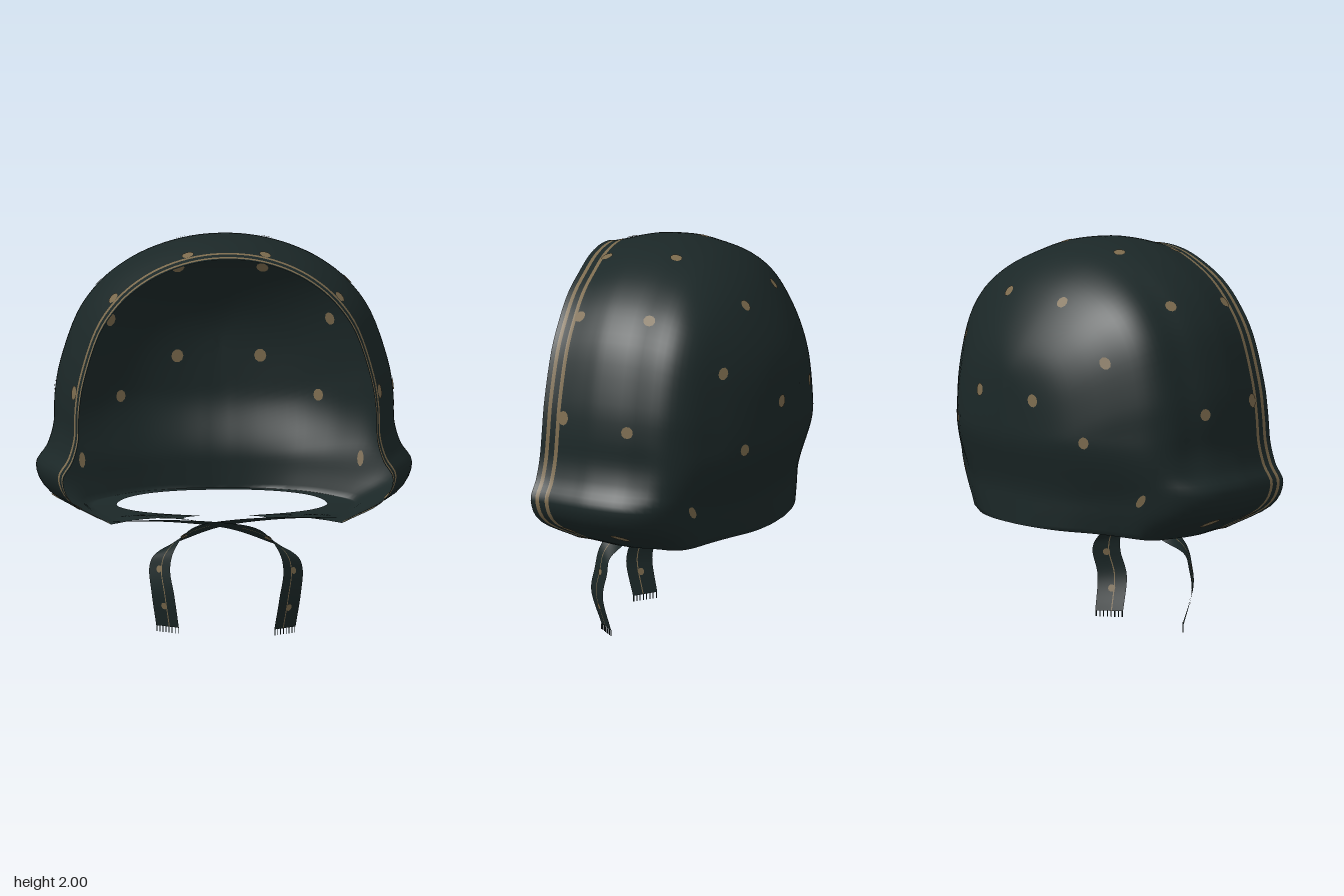
import * as THREE from 'three';
import { mergeVertices } from 'three/addons/utils/BufferGeometryUtils.js';

const { smoothstep, lerp } = THREE.MathUtils;
const V = (x, y, z) => new THREE.Vector3(x, y, z);
const spline = (rows) => new THREE.CatmullRomCurve3(rows.map((r) => V(...r)), false, 'catmullrom');

// depth z, half width and crown height of each hood section, rim to back
const SECTIONS = [
  [0.5, 0.83, 1.93], [0.475, 0.833, 1.933], [0.455, 0.837, 1.937], [0.425, 0.845, 1.945],
  [0.405, 0.852, 1.95], [0.3, 0.895, 1.98], [0.2, 0.93, 1.995], [0.05, 0.945, 1.995],
  [-0.1, 0.9, 1.96], [-0.22, 0.8, 1.9], [-0.33, 0.67, 1.81], [-0.43, 0.54, 1.685],
  [-0.51, 0.39, 1.55], [-0.555, 0.2, 1.43], [-0.57, 0, 1.31],
];
// arch from hem to just past the crown: width fraction, height fraction, forward bend at the rim
const FRONT = [
  [0.7, 0, -0.1], [0.93, 0.09, 0.035], [1, 0.18, 0.07], [0.94, 0.25, 0.06], [0.905, 0.33, 0.05],
  [0.9, 0.43, 0.04], [0.87, 0.55, 0.035], [0.78, 0.72, 0.025], [0.66, 0.83, 0.015],
  [0.52, 0.905, 0.01], [0.36, 0.957, 0], [0.18, 0.99, 0], [0, 1, 0], [-0.18, 0.99, 0],
];
const BACK_WIDTH = [0.86, 0.92, 0.96, 0.99, 1, 0.99, 0.97, 0.89, 0.78, 0.63, 0.44, 0.22, 0, -0.22];
const CROWN = (FRONT.length - 2) / (FRONT.length - 1);
const SUB = 4, FLOOR = 6, ARCH = 48;

const sectionCurve = spline(SECTIONS);
const frontArch = spline(FRONT);
const backArch = spline(FRONT.map((r, i) => [BACK_WIDTH[i], r[1], 0]));

// half-width of the neck opening in the underside, pinched between two pointed flaps
function openingWidth(z, hem) {
  if (z < -0.15) return Math.min(hem, 0.53 * Math.sqrt(Math.max(0, 1 - ((z + 0.15) / 0.36) ** 2)));
  if (z < 0.2) return 0.12 + 0.41 * (1 - ((z + 0.15) / 0.35) ** 1.5);
  return 0.12 + 0.09 * Math.sin(((z - 0.2) / 0.3) * Math.PI);
}

// one half section: chin flap from the opening to the hem, then up to the crown
function halfSection(t) {
  const { x: z, y: width, z: crown } = sectionCurve.getPoint(t);
  const frontness = smoothstep(z, 0, 0.5);
  const backness = smoothstep(-z, 0, 0.3);
  const low = 0.57 + 0.04 * smoothstep(-z, 0, 0.5);
  const points = [];
  for (let j = 0; j <= ARCH; j++) {
    const u = (j / ARCH) * CROWN;
    const f = frontArch.getPoint(u), b = backArch.getPoint(u);
    const y = low + (crown - low) * f.y;
    const tuck = 0.08 * (1 - smoothstep(y, 0.75, 1.1)) * smoothstep(-z, 0.1, 0.5);
    points.push(V(Math.max(0, width) * lerp(f.x, b.x, backness), y, z + f.z * frontness + tuck));
  }
  const hem = points[0];
  const inner = openingWidth(z, hem.x);
  const arching = 0.025 * frontness * Math.min(1, (hem.x - inner) / 0.3);
  const flap = [];
  for (let k = 0; k < FLOOR; k++) {
    const a = k / FLOOR;
    const y = hem.y + arching * Math.sin(Math.PI * a);
    flap.push(V(lerp(inner, hem.x, a), y, hem.z - 0.07 * frontness * (1 - a)));
  }
  return flap.concat(points);
}

// indexed two-material geometry: cloth faces, then trim faces
function groupedGeometry(positions, cloth, trim) {
  let geometry = new THREE.BufferGeometry();
  geometry.setAttribute('position', new THREE.Float32BufferAttribute(positions, 3));
  geometry.setIndex(cloth.concat(trim));
  geometry.addGroup(0, cloth.length, 0);
  geometry.addGroup(cloth.length, trim.length, 1);
  geometry = mergeVertices(geometry, 1e-5);
  geometry.computeVertexNormals();
  return geometry;
}

// smooth hood shell with two piping stripes behind the rim
function hoodGeometry() {
  const rows = (SECTIONS.length - 1) * SUB, cols = (FLOOR + ARCH) * 2;
  const positions = [], cloth = [], trim = [];
  for (let i = 0; i <= rows; i++) {
    const side = halfSection(i / rows);
    const mirrored = side.slice(0, -1).reverse().map((p) => V(-p.x, p.y, p.z));
    for (const p of side.concat(mirrored)) positions.push(p.x, p.y, p.z);
  }
  for (let i = 0; i < rows; i++) {
    const segment = Math.floor(i / SUB);
    for (let j = 0; j < cols; j++) {
      // the middle of the underside stays open between the two flaps
      const a = i * (cols + 1) + j, b = a + cols + 1;
      const onArch = j >= FLOOR && j < cols - FLOOR;
      const list = onArch && (segment === 1 || segment === 3) ? trim : cloth;
      list.push(a, b, a + 1, b, b + 1, a + 1);
    }
  }
  return groupedGeometry(positions, cloth, trim);
}

// ribbon centres and half-width vectors, from under the chin to the loose end
const TIE_PATH = [
  [-0.6, 0.58, 0.38], [-0.3, 0.58, 0.36], [0, 0.55, 0.33], [0.19, 0.495, 0.32],
  [0.3, 0.42, 0.36], [0.335, 0.33, 0.37], [0.32, 0.2, 0.395], [0.295, 0.03, 0.355],
];
const TIE_WIDTH = [
  [0, 0.005, 0.03], [0, 0.012, 0.045], [0, 0.02, 0.045], [-0.02, 0.035, 0.04],
  [-0.042, 0.015, 0.042], [-0.05, 0, 0.05], [-0.055, 0, 0.05], [-0.055, 0, 0.045],
];
const ACROSS = [-1, -0.5, 0.12, 0.2, 0.6, 1];
const tiePath = spline(TIE_PATH), tieWidth = spline(TIE_WIDTH);
const tieLift = (side) => (side < 0 ? 0.012 : 0);

function tieGeometry(side) {
  const steps = 56, n = ACROSS.length;
  const positions = [], cloth = [], trim = [];
  for (let i = 0; i <= steps; i++) {
    const c = tiePath.getPoint(i / steps), w = tieWidth.getPoint(i / steps);
    for (const a of ACROSS) {
      const p = c.clone().addScaledVector(w, a);
      positions.push(side * p.x, p.y + tieLift(side), p.z);
    }
  }
  for (let i = 0; i < steps; i++) {
    for (let j = 0; j < n - 1; j++) {
      const a = i * n + j, b = a + n;
      const quad = side > 0 ? [a, b, a + 1, b, b + 1, a + 1] : [a, a + 1, b, b, a + 1, b + 1];
      (j === 2 && i > 18 ? trim : cloth).push(...quad);
    }
  }
  return groupedGeometry(positions, cloth, trim);
}

// approximate dot positions on the left half, then width and height scale
const DOTS = [
  [0.21, 1.97, 0.02, 1, 1], [0.61, 1.73, 0, 1, 1], [0.2, 1.75, -0.36, 1, 1],
  [0.57, 1.49, -0.36, 0.9, 1.1], [0.83, 1.22, 0.05, 1, 1], [0.2, 1.26, -0.56, 1, 1.1],
  [0.5, 1.09, -0.44, 0.9, 1], [0.2, 1.95, 0.39, 1, 1], [0.57, 1.72, 0.4, 1, 1],
  [0.77, 1.24, 0.41, 1, 1.2], [0.84, 0.66, 0.09, 0.9, 1.8], [0.78, 0.66, 0.41, 0.9, 1.5],
  [0.7, 0.78, -0.26, 0.6, 1.3],
];

export function createModel() {
  const clothMaterial = new THREE.MeshStandardMaterial({ color: 0x1b2727, side: THREE.DoubleSide });
  clothMaterial.name = 'dark teal cloth';
  const trimMaterial = new THREE.MeshStandardMaterial({ color: 0x7b6a4d, side: THREE.DoubleSide });
  trimMaterial.name = 'tan trim';

  const model = new THREE.Group();
  model.name = 'bonnet';
  const add = (name, geometry, material, parent = model) => {
    const mesh = new THREE.Mesh(geometry, material);
    mesh.name = name;
    parent.add(mesh);
    return mesh;
  };

  const hood = hoodGeometry();
  add('hood', hood, [clothMaterial, trimMaterial]);

  // dots show on both faces of the cloth
  const dots = new THREE.Group();
  dots.name = 'dots';
  model.add(dots);
  const disc = new THREE.CircleGeometry(0.031, 10);
  const addDot = (centre, outward, width, height) => {
    for (const face of [1, -1]) {
      const normal = outward.clone().multiplyScalar(face);
      const dot = add('dot', disc, trimMaterial, dots);
      dot.position.copy(centre).addScaledVector(normal, 0.004);
      dot.quaternion.setFromUnitVectors(V(0, 0, 1), normal);
      dot.scale.set(width, height, 1);
    }
  };

  // hood dots lie at the nearest shell point
  const pos = hood.attributes.position, nor = hood.attributes.normal;
  for (const side of [1, -1]) {
    for (const [x, y, z, width, height] of DOTS) {
      const target = V(side * x, y, z), p = V(0, 0, 0);
      let best = 0, bestDistance = Infinity;
      for (let i = 0; i < pos.count; i++) {
        const d = p.fromBufferAttribute(pos, i).distanceToSquared(target);
        if (d < bestDistance) { bestDistance = d; best = i; }
      }
      const centre = V(0, 0, 0).fromBufferAttribute(pos, best);
      addDot(centre, V(0, 0, 0).fromBufferAttribute(nor, best), width, height);
    }
  }

  // crossed chin ties with small dots and fringed ends
  for (const side of [1, -1]) {
    const name = side > 0 ? 'leftTie' : 'rightTie';
    add(name, tieGeometry(side), [clothMaterial, trimMaterial]);
    const mirror = V(side, 1, 1), lift = V(0, tieLift(side), 0);
    for (const t of [0.45, 0.72, 0.91]) {
      const centre = tiePath.getPoint(t).multiply(mirror).add(lift);
      const along = tiePath.getTangent(t).multiply(mirror);
      const outward = along.cross(tieWidth.getPoint(t).multiply(mirror)).normalize();
      addDot(centre, outward, 0.6, 0.6);
    }
    for (let k = 0; k < 8; k++) {
      const a = -0.94 + (k * 1.88) / 7;
      const p = tiePath.getPoint(1).addScaledVector(tieWidth.getPoint(1), a).multiply(mirror).add(lift);
      const thread = add(name + 'Fringe', new THREE.BoxGeometry(0.004, 0.03, 0.004), clothMaterial);
      thread.position.set(p.x, p.y - 0.015, p.z);
    }
  }
  return model;
}
